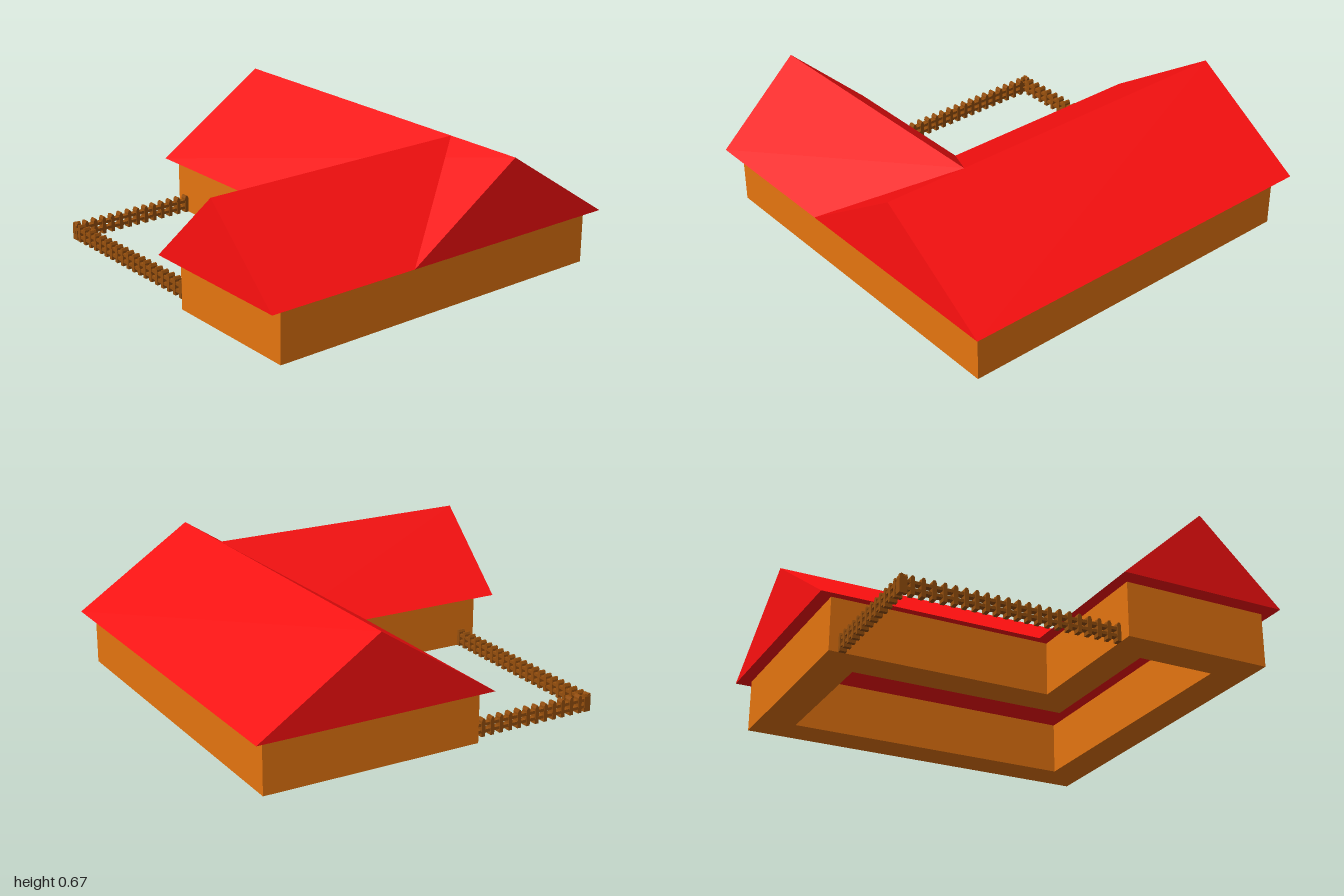
import * as THREE from 'three';

const mat = (color) => new THREE.MeshStandardMaterial({ color, flatShading: true });
const wallMat = mat(0xe67510);
const roofMat = mat(0xff1010);
const fenceMat = mat(0x964f0d);

const EAVE = 0.27, RIDGE = 0.665;

function add(parent, geometry, material, name) {
  const mesh = new THREE.Mesh(geometry, material);
  mesh.name = name;
  parent.add(mesh);
  return mesh;
}

// points given as [x, z] on the ground plan
const plan = (points) => points.map(([x, z]) => new THREE.Vector2(x, -z));

// Triangular prism running along z from 0 to length, centred on x
function gableRoof(halfWidth, length) {
  const shape = new THREE.Shape([
    new THREE.Vector2(-halfWidth, EAVE),
    new THREE.Vector2(halfWidth, EAVE),
    new THREE.Vector2(0, RIDGE),
  ]);
  return new THREE.ExtrudeGeometry(shape, { depth: length, bevelEnabled: false });
}

// Picket fence running along +x from the origin
function fence(length, name) {
  const group = new THREE.Group();
  group.name = name;
  const w = 0.02, depth = 0.036, top = 0.09;
  const shape = new THREE.Shape([[-w / 2, 0], [w / 2, 0], [w / 2, top - 0.012],
    [w / 4, top], [-w / 4, top], [-w / 2, top - 0.012]]
    .map(([x, y]) => new THREE.Vector2(x, y)));
  const picket = new THREE.ExtrudeGeometry(shape, { depth, bevelEnabled: false });
  picket.translate(0, 0, -depth / 2);
  const count = Math.round(length / 0.049);
  for (let i = 0; i < count; i++) {
    add(group, picket, fenceMat, 'picket').position.x = w / 2 + (i * (length - w)) / (count - 1);
  }
  for (const y of [0.026, 0.06]) {
    add(group, new THREE.BoxGeometry(length, 0.015, 0.03), fenceMat, 'rail')
      .position.set(length / 2, y, 0);
  }
  return group;
}

export function createModel() {
  const model = new THREE.Group();
  model.name = 'house';

  // Thick L-shaped walls around an open interior
  const outline = new THREE.Shape(plan([
    [-0.93, -0.94], [-0.93, 0.17], [0.2, 0.17], [0.2, 0.92], [0.94, 0.92], [0.94, -0.94]]));
  outline.holes.push(new THREE.Path(plan([
    [-0.74, -0.76], [0.76, -0.76], [0.76, 0.74], [0.37, 0.74], [0.37, -0.01], [-0.74, -0.01]])));
  const walls = new THREE.ExtrudeGeometry(outline, { depth: EAVE, bevelEnabled: false });
  walls.rotateX(-Math.PI / 2);
  add(model, walls, wallMat, 'walls');

  // Main roof along x, wing roof along z meeting at the ridge
  const mainRoof = add(model, gableRoof(0.605, 1.985), roofMat, 'mainRoof');
  mainRoof.rotation.y = Math.PI / 2;
  mainRoof.position.set(-0.995, 0, -0.395);
  add(model, gableRoof(0.425, 1.395), roofMat, 'wingRoof').position.set(0.565, 0, -0.395);

  // Yard fences closing the corner of the L
  const front = fence(1.085, 'frontFence');
  front.position.set(-0.885, 0, 0.838);
  const side = fence(0.685, 'sideFence');
  side.rotation.y = Math.PI / 2;
  side.position.set(-0.866, 0, 0.855);
  model.add(front, side);

  return model;
}
